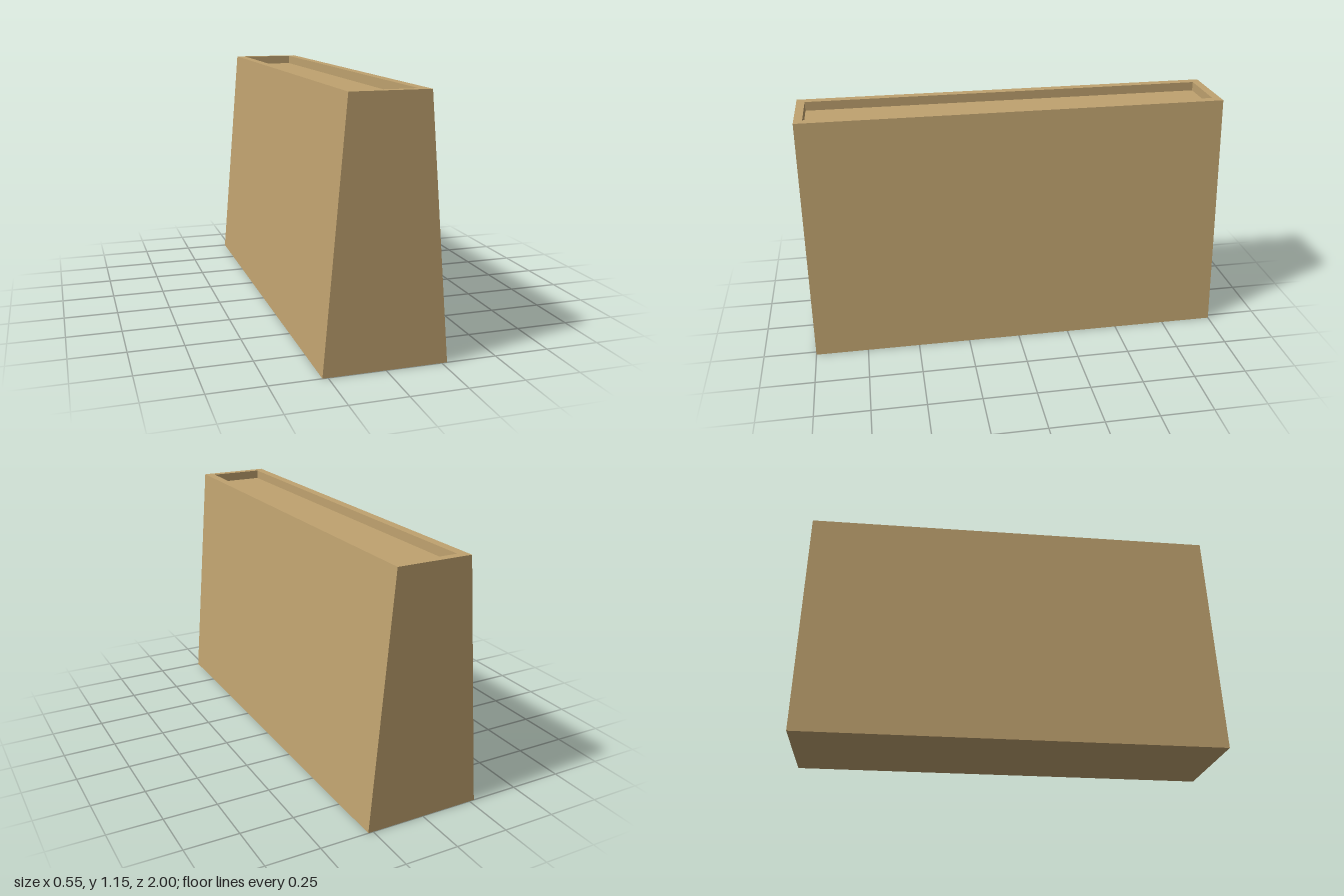
import * as THREE from 'three';

const HEIGHT = 1.15, DEPTH = 0.043;

// Rectangle of half sizes x, z at height y, anticlockwise seen from above
const ring = (x, y, z) => [[-x, y, z], [x, y, z], [x, y, -z], [-x, y, -z]];

// Four flat walls joining one rectangle to the next
function band(a, b) {
  const quads = [];
  for (let i = 0; i < 4; i++) {
    const j = (i + 1) % 4;
    quads.push([a[i], a[j], b[j], b[i]]);
  }
  return quads;
}

function quadMesh(name, quads, material) {
  const points = quads.flatMap(([a, b, c, d]) => [a, b, c, a, c, d]).flat();
  const geometry = new THREE.BufferGeometry();
  geometry.setAttribute('position', new THREE.Float32BufferAttribute(points, 3));
  geometry.computeVertexNormals();
  const mesh = new THREE.Mesh(geometry, material);
  mesh.name = name;
  return mesh;
}

export function createModel() {
  const group = new THREE.Group();
  group.name = 'taperedPlanter';
  const tan = new THREE.MeshStandardMaterial({ color: 0xbfa26f });
  tan.name = 'tan';

  const base = ring(0.274, 0, 1);
  const top = ring(0.174, HEIGHT, 1);
  const lip = ring(0.131, HEIGHT, 0.961);
  const floor = ring(0.131, HEIGHT - DEPTH, 0.961);

  // Sloped sides, upright ends and underside
  group.add(quadMesh('body', [...band(base, top), [...base].reverse()], tan));
  // Flat rim around the opening
  group.add(quadMesh('rim', band(top, lip), tan));
  // Shallow recess with straight walls
  group.add(quadMesh('recessWalls', band(lip, floor), tan));
  group.add(quadMesh('recessFloor', [floor], tan));
  return group;
}
